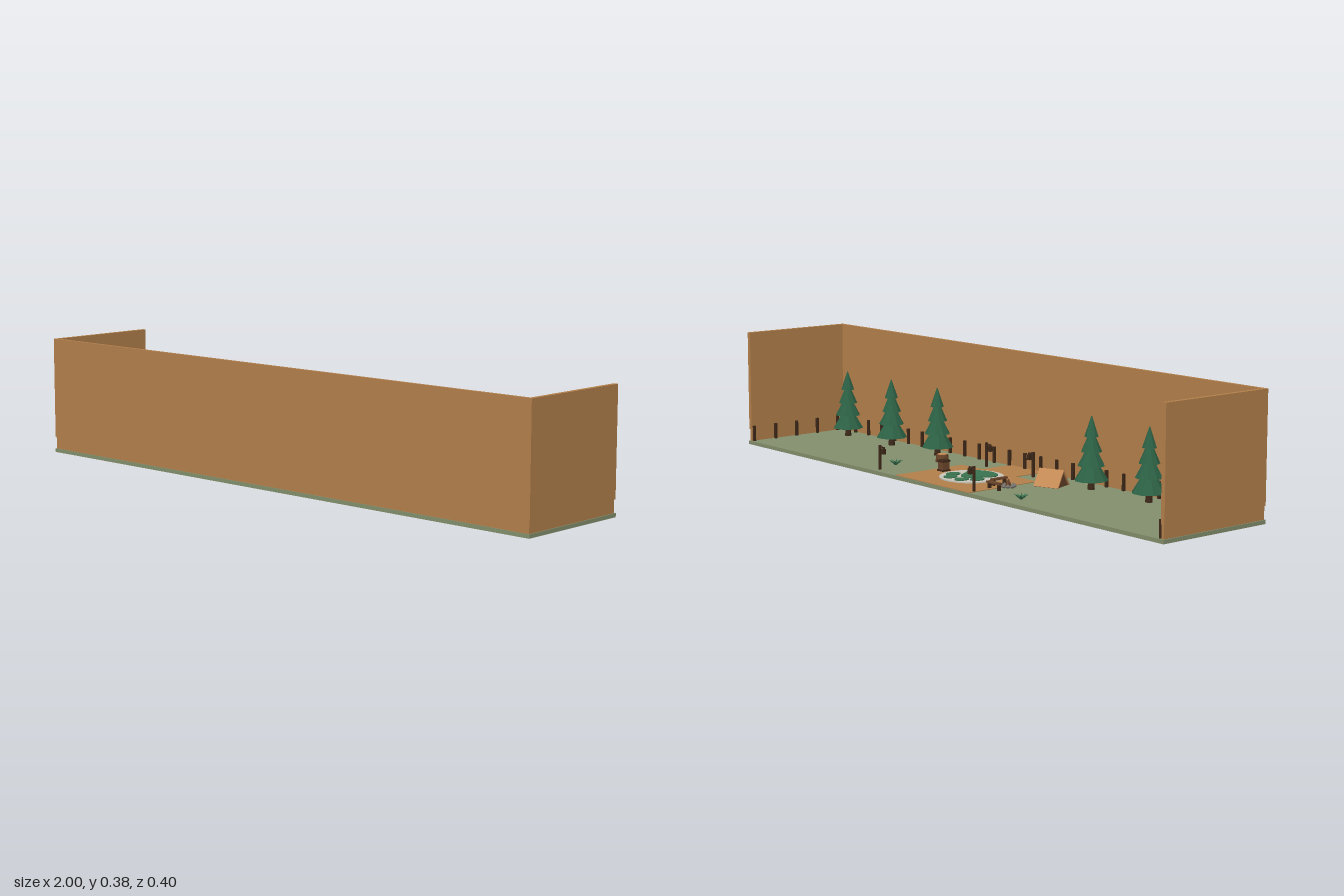
import * as THREE from 'three';

const mat = (name, color) => {
  const m = new THREE.MeshStandardMaterial({ color });
  m.name = name;
  return m;
};

export function createModel() {
  const grass = mat('grass green', 0x828e6b);
  const wood = mat('tan wood', 0xb27f4a);
  const bark = mat('dark bark', 0x3d2818);
  const plank = mat('brown plank', 0x6b452a);
  const pine = mat('pine green', 0x2c6145);
  const paint = mat('leaf green', 0x3a7350);
  const pale = mat('pale stone', 0xc9c5b9);
  const grey = mat('grey stone', 0x77736d);
  const canvas = mat('light roof', 0xc48a55);

  const root = new THREE.Group();
  root.name = 'parkDiorama';
  const G = 0.012; // ground level

  const add = (parent, name, geo, m, x = 0, y = 0, z = 0) => {
    const o = new THREE.Mesh(geo, m);
    o.name = name;
    o.position.set(x, y, z);
    parent.add(o);
    return o;
  };
  const box = (p, name, m, w, h, d, x, y, z) => add(p, name, new THREE.BoxGeometry(w, h, d), m, x, y, z);
  const flat = (geo) => {
    const g = geo.toNonIndexed();
    g.computeVertexNormals();
    return g;
  };
  const cyl = (r0, r1, h, n) => flat(new THREE.CylinderGeometry(r0, r1, h, n));
  const group = (name, x, z, turn = 0) => {
    const g = new THREE.Group();
    g.name = name;
    g.position.set(x, G, z);
    g.rotation.y = turn;
    root.add(g);
    return g;
  };

  // Ground and the three enclosing walls, with a slightly inset lower board
  box(root, 'ground', grass, 2, G, 0.4, 0, G / 2, 0);
  box(root, 'frontWall', wood, 2, 0.331, 0.012, 0, 0.2175, 0.193);
  box(root, 'frontSkirting', wood, 1.994, 0.041, 0.01, 0, 0.032, 0.192);
  for (const s of [-1, 1]) {
    box(root, 'sideWall', wood, 0.014, 0.331, 0.384, s * 0.993, 0.2175, -0.005);
    box(root, 'sideSkirting', wood, 0.01, 0.041, 0.382, s * 0.992, 0.032, -0.004);
  }

  // Sandy plaza and path
  box(root, 'plaza', wood, 0.36, 0.002, 0.268, 0, G + 0.001, -0.064);
  box(root, 'path', wood, 0.16, 0.002, 0.117, 0, G + 0.001, 0.1285);

  // Round stone medallion with an animal footprint
  const medal = group('medallion', 0, -0.04);
  add(medal, 'disc', new THREE.CylinderGeometry(0.1, 0.1, 0.004, 40), pale, 0, 0.004, 0);
  const pad = new THREE.Shape();
  pad.moveTo(0, 0.04);
  pad.bezierCurveTo(0.03, 0.04, 0.034, 0.005, 0.052, -0.015);
  pad.bezierCurveTo(0.075, -0.045, 0.045, -0.076, 0, -0.076);
  pad.bezierCurveTo(-0.045, -0.076, -0.075, -0.045, -0.052, -0.015);
  pad.bezierCurveTo(-0.034, 0.005, -0.03, 0.04, 0, 0.04);
  const padGeo = new THREE.ExtrudeGeometry(pad, { depth: 0.003, bevelEnabled: false, curveSegments: 8 });
  padGeo.rotateX(-Math.PI / 2);
  add(medal, 'footprintPad', padGeo, paint, 0, 0.006, 0.006);
  for (const s of [-1, 1]) {
    for (const [x, z] of [[0.027, -0.062], [0.058, -0.026]]) {
      const toe = add(medal, 'footprintToe', new THREE.CylinderGeometry(0.02, 0.02, 0.003, 16), paint, s * x, 0.0075, z);
      toe.scale.z = 1.2;
    }
  }

  // Fence posts along the inside of the walls
  const post = new THREE.BoxGeometry(0.008, 0.052, 0.008);
  for (let i = 0; i < 27; i++) add(root, 'fencePost', post, bark, -0.975 + i * 0.075, G + 0.026, 0.178);
  for (const s of [-1, 1])
    for (let i = 0; i < 5; i++) add(root, 'fencePost', post, bark, s * 0.98, G + 0.026, -0.19 + i * 0.087);

  // Pine trees with stacked eight-sided tiers
  const tiers = [[0.052, 0.08, 0.068], [0.042, 0.075, 0.11], [0.032, 0.07, 0.15], [0.022, 0.062, 0.192]];
  for (const x of [-0.865, -0.617, -0.37, 0.37, 0.617, 0.865]) {
    const t = group('pineTree', x, 0.12);
    add(t, 'trunk', cyl(0.008, 0.011, 0.05, 8), bark, 0, 0.025, 0);
    tiers.forEach(([r, h, y], i) => {
      const c = add(t, 'foliage', cyl(r * 0.06, r, h, 9), pine, 0, y, 0);
      c.rotation.y = i * 0.35;
    });
  }

  // Lantern posts; the lantern hangs on the side facing the plaza
  for (const [x, z, s] of [[-0.175, -0.175, 1], [0.29, -0.175, -1], [-0.113, 0.114, 1], [0.113, 0.114, -1]]) {
    const l = group('lampPost', x, z);
    box(l, 'pole', bark, 0.007, 0.078, 0.007, 0, 0.039, 0);
    box(l, 'arm', bark, 0.026, 0.005, 0.005, s * 0.01, 0.072, 0);
    box(l, 'lantern', bark, 0.011, 0.017, 0.011, s * 0.019, 0.06, 0);
  }

  // Small ridge tent
  const tent = group('tent', -0.25, 0.068, 0.35);
  const tri = new THREE.Shape([[-0.034, 0], [0.034, 0], [0, 0.046]].map((p) => new THREE.Vector2(...p)));
  const body = new THREE.ExtrudeGeometry(tri, { depth: 0.076, bevelEnabled: false });
  body.translate(0, 0, -0.038).rotateY(Math.PI / 2);
  add(tent, 'tentBody', body, plank);
  for (const s of [-1, 1]) {
    const roof = box(tent, 'roofSheet', canvas, 0.084, 0.004, 0.062, 0, 0.025, s * 0.018);
    roof.rotation.x = s * 0.934;
  }

  // Campfire with a stone ring and leaning logs
  const fire = group('campfire', -0.187, -0.05);
  for (let i = 0; i < 8; i++) {
    const a = (i * Math.PI) / 4;
    add(fire, 'ringStone', flat(new THREE.OctahedronGeometry(0.007, 1)), grey, Math.cos(a) * 0.018, 0.005, Math.sin(a) * 0.018);
  }
  for (let i = 0; i < 4; i++) {
    const holder = new THREE.Group();
    holder.name = 'fireLog';
    holder.rotation.y = (i * Math.PI) / 2 + 0.4;
    fire.add(holder);
    add(holder, 'log', cyl(0.003, 0.003, 0.026, 6), plank, 0.005, 0.012, 0).rotation.z = 0.5;
  }

  // Benches around the fire
  for (const [x, z, turn] of [[-0.145, -0.052, Math.PI / 2], [-0.188, -0.107, 0]]) {
    const b = group('bench', x, z, turn);
    box(b, 'benchSeat', plank, 0.06, 0.006, 0.013, 0, 0.021, 0);
    for (const s of [-1, 1]) box(b, 'benchLeg', bark, 0.006, 0.018, 0.011, s * 0.022, 0.009, 0);
  }

  // Wooden crate
  const crate = group('crate', 0.138, -0.04);
  box(crate, 'crateBody', plank, 0.026, 0.034, 0.026, 0, 0.017, 0);
  for (const y of [0.004, 0.034]) box(crate, 'crateBand', bark, 0.03, 0.006, 0.03, 0, y, 0);

  // Tree stump
  const stump = group('stump', 0.27, 0.06);
  add(stump, 'stumpBark', cyl(0.019, 0.022, 0.024, 10), plank, 0, 0.012, 0);
  add(stump, 'stumpTop', cyl(0.015, 0.015, 0.002, 10), canvas, 0, 0.025, 0);

  // Ferns made of radiating leaves
  for (const [x, z] of [[-0.35, -0.14], [0.32, -0.09]]) {
    const f = group('fern', x, z);
    for (let i = 0; i < 8; i++) {
      const leaf = new THREE.ConeGeometry(0.005, 0.026, 4);
      leaf.translate(0, 0.013, 0).rotateZ(-1.05).rotateY((i * Math.PI) / 4);
      add(f, 'leaf', flat(leaf), paint, 0, 0.004, 0);
    }
  }
  return root;
}
